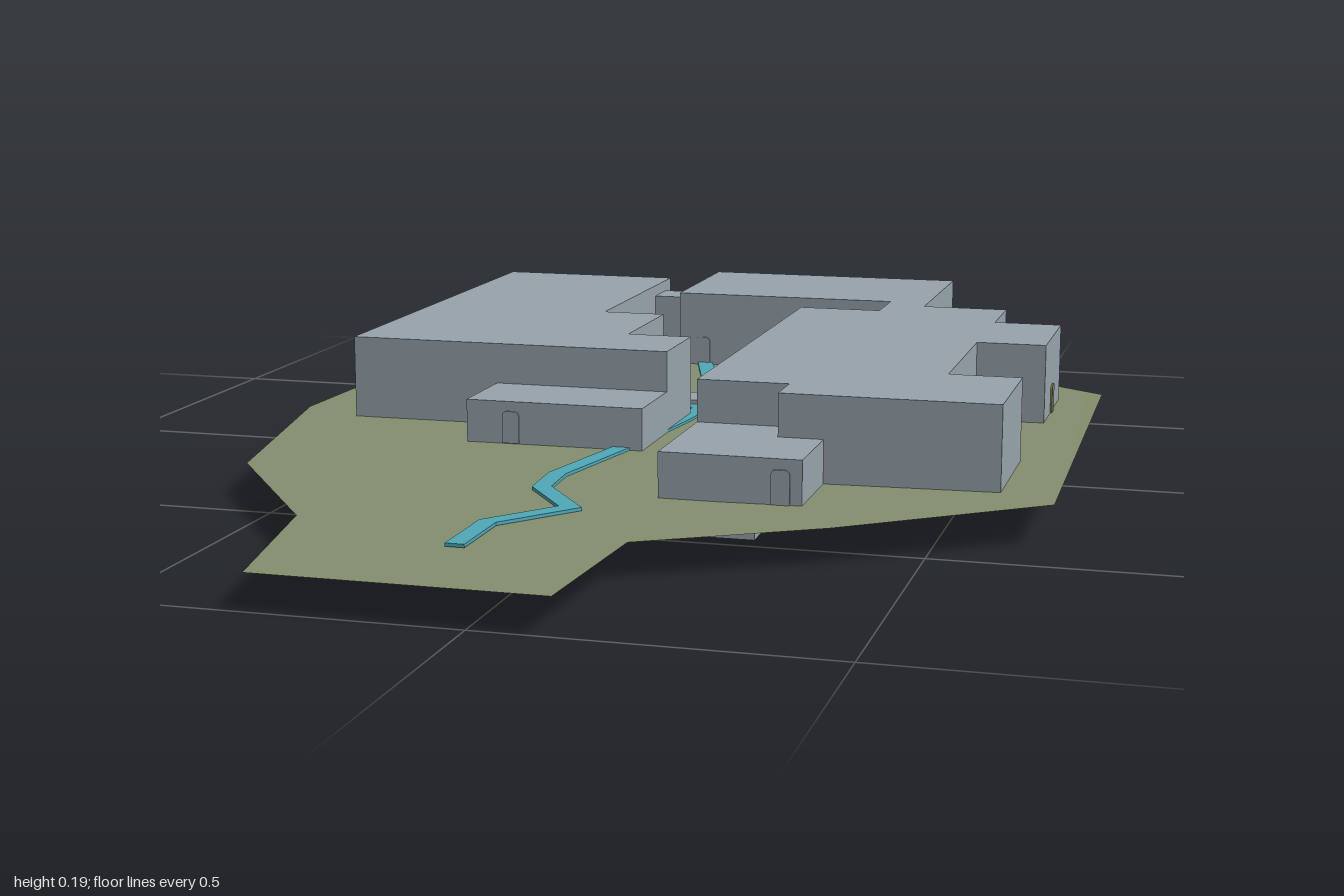
import * as THREE from 'three';

const material = (name, color, side = THREE.FrontSide) => {
  const m = new THREE.MeshStandardMaterial({ color, side });
  m.name = name;
  return m;
};

export function createModel() {
  const model = new THREE.Group();
  const stone = material('blue grey stone', 0x98a3ac);
  const grass = material('grass', 0x848f6e, THREE.DoubleSide);
  const water = material('water', 0x4fa8b8);
  const path = material('path', 0x8b8678);
  const olive = material('olive door', 0x7d7f5c);

  const add = (name, geometry, mat) => {
    const mesh = new THREE.Mesh(geometry, mat);
    mesh.name = name;
    model.add(mesh);
    return mesh;
  };
  const plan = pts => new THREE.Shape(pts.map(([x, z]) => new THREE.Vector2(x, -z)));
  // raise a ground plan given as [x, z] corners from y0 to y1
  const slab = (name, pts, y0, y1, mat = stone) => {
    const g = new THREE.ExtrudeGeometry(plan(pts), { depth: y1 - y0, bevelEnabled: false });
    g.rotateX(-Math.PI / 2).translate(0, y0, 0);
    return add(name, g, mat);
  };
  const block = (name, x0, x1, z0, z1, y0, y1, mat) =>
    slab(name, [[x0, z0], [x1, z0], [x1, z1], [x0, z1]], y0, y1, mat);

  // ground sheet, rising slightly on the left side
  const ground = new THREE.ShapeGeometry(plan([
    [-0.2, -1], [0.355, -1], [0.44, -0.63], [0.65, -0.47], [0.665, 0.38], [0.38, 0.58], [0.13, 0.72],
    [0.115, 1], [-0.305, 1], [-0.365, 0.7], [-0.58, 0.41], [-0.67, -0.03], [-0.635, -0.84],
  ])).rotateX(-Math.PI / 2);
  const pos = ground.attributes.position;
  for (let i = 0; i < pos.count; i++) {
    pos.setY(i, 0.053 + 0.007 * THREE.MathUtils.smoothstep(pos.getX(i), 0.2, 0.66));
  }
  ground.computeVertexNormals();
  add('ground', ground, grass);

  // main wings
  slab('rightWing', [
    [-0.56, -0.785], [-0.23, -0.785], [-0.23, -0.345], [-0.12, -0.345],
    [-0.12, -0.125], [-0.01, -0.125], [-0.01, 0.025], [-0.56, 0.025],
  ], 0.045, 0.19);
  slab('leftWing', [
    [0.1, -0.49], [0.245, -0.49], [0.245, -0.6], [0.315, -0.6], [0.315, -0.56], [0.465, -0.56],
    [0.465, -0.415], [0.58, -0.415], [0.58, -0.2], [0.465, -0.2], [0.465, 0.1], [0.58, 0.1],
    [0.58, 0.32], [0.245, 0.32], [0.245, 0.245], [0.1, 0.245],
  ], 0.048, 0.19);
  block('backWing', -0.16, 0.315, -0.895, -0.6, 0.046, 0.19);

  // low blocks and connections
  block('rightPorch', -0.305, -0.01, 0.025, 0.17, 0.047, 0.123);
  block('leftPorch', 0.1, 0.315, 0.245, 0.465, 0.047, 0.123);
  block('backConnector', -0.235, -0.16, -0.75, -0.675, 0.048, 0.17);
  block('footbridge', -0.12, 0.1, -0.27, -0.2, 0.04, 0.066);

  // basement passages
  block('leftBasement', 0.1, 0.245, -0.49, 0.465, 0, 0.05);
  block('basementLink', -0.12, 0.1, -0.335, -0.26, 0, 0.05);
  slab('rightBasement', [
    [-0.45, -0.78], [-0.23, -0.78], [-0.23, -0.345], [-0.12, -0.345],
    [-0.12, -0.2], [-0.305, -0.2], [-0.45, -0.34],
  ], 0, 0.05);

  // flat band following a path, with mitred corners
  const ribbon = (name, pts, width, y0, mat) => {
    const p = pts.map(([x, z]) => new THREE.Vector2(x, z));
    const normal = (a, b) => {
      const d = b.clone().sub(a).normalize();
      return new THREE.Vector2(-d.y, d.x);
    };
    const sides = [[], []];
    p.forEach((q, i) => {
      const n0 = i > 0 ? normal(p[i - 1], q) : normal(q, p[1]);
      const n1 = i < p.length - 1 ? normal(q, p[i + 1]) : n0;
      const n = n0.clone().add(n1).normalize();
      n.multiplyScalar(width / 2 / Math.max(0.5, n.dot(n0)));
      sides[0].push([q.x + n.x, q.y + n.y]);
      sides[1].unshift([q.x - n.x, q.y - n.y]);
    });
    slab(name, [...sides[0], ...sides[1]], y0, y0 + 0.005, mat);
  };
  ribbon('stream', [
    [-0.11, -0.6], [0, -0.25], [-0.01, -0.08], [-0.045, 0.17], [-0.085, 0.37], [-0.08, 0.46],
    [0, 0.57], [-0.085, 0.68], [-0.085, 0.81],
  ], 0.028, 0.054, water);
  ribbon('streamBranch', [[0, -0.22], [-0.065, -0.12]], 0.022, 0.054, water);
  slab('pool', [[0.01, -0.21], [0.06, -0.17], [0.1, -0.1], [0.1, 0.0]], 0.054, 0.059, water);

  // paths
  block('courtyardPath', 0.01, 0.09, -0.6, -0.27, 0.053, 0.0555, path);
  block('backPath', 0.02, 0.085, -0.97, -0.895, 0.053, 0.0555, path);

  // arched doors as thin plates; turned ones face the left side
  const door = (name, x, z, turned, mat, w = 0.028, h = 0.052) => {
    const s = new THREE.Shape();
    const r = w * 0.3;
    s.moveTo(-w / 2, 0);
    s.lineTo(w / 2, 0);
    s.lineTo(w / 2, h - r);
    s.quadraticCurveTo(w / 2, h, w / 2 - r, h);
    s.lineTo(r - w / 2, h);
    s.quadraticCurveTo(-w / 2, h, -w / 2, h - r);
    const g = new THREE.ExtrudeGeometry(s, { depth: 0.003, bevelEnabled: false, curveSegments: 4 });
    const mesh = add(name, g, mat);
    mesh.position.set(x, 0.055, z);
    if (turned) mesh.rotation.y = Math.PI / 2;
  };
  door('rightPorchDoor', -0.23, 0.17, false, stone);
  door('leftPorchDoor', 0.283, 0.465, false, stone);
  door('streamArch', -0.115, -0.6, false, stone);
  door('sideDoor', 0.58, -0.3, true, olive);
  door('connectorDoor', 0.315, -0.58, true, stone, 0.036, 0.072);

  return model;
}
